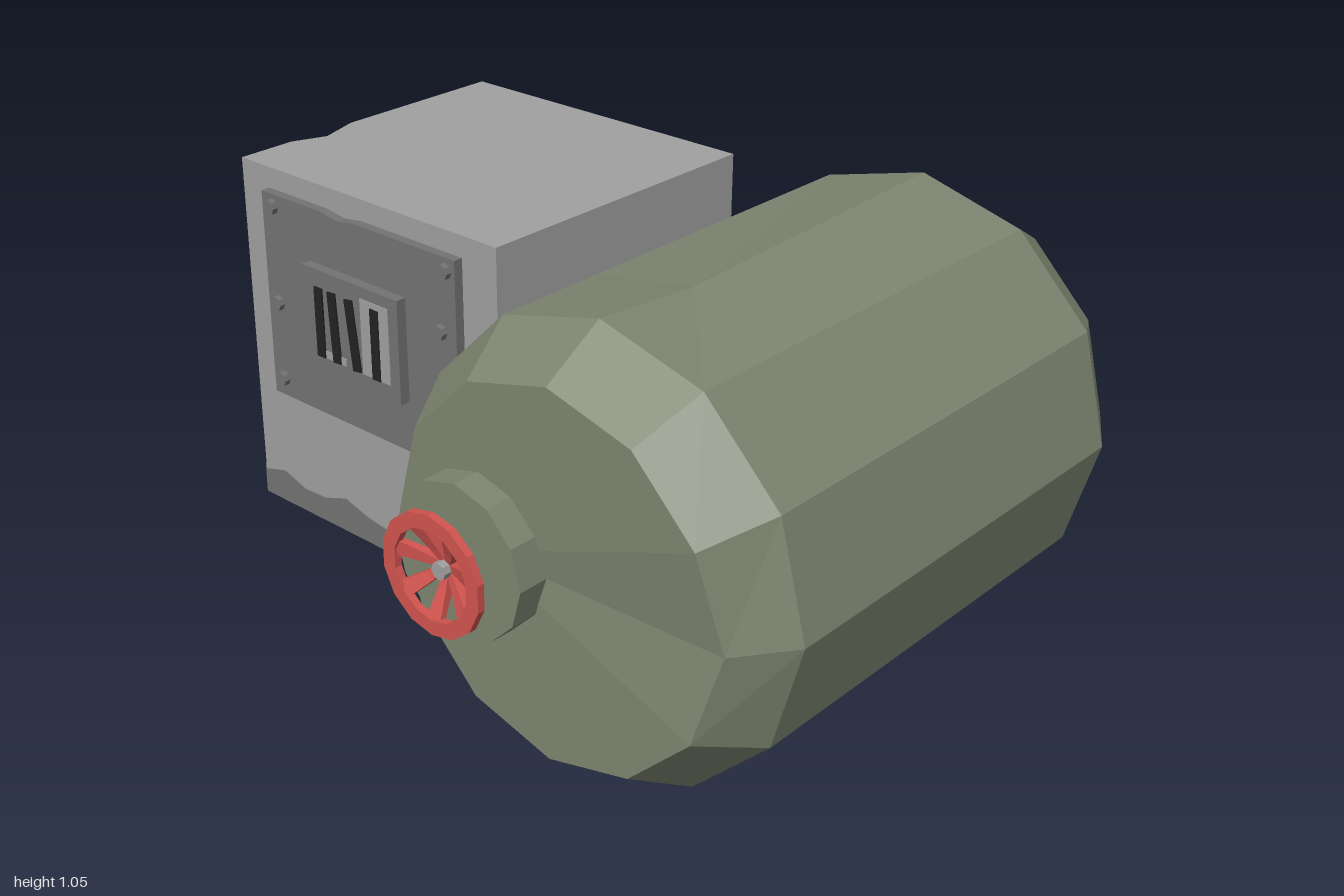
import * as THREE from 'three';

const mat = (name, color) => {
  const m = new THREE.MeshStandardMaterial({ color });
  m.name = name;
  return m;
};

export function createModel() {
  const model = new THREE.Group();
  model.name = 'tankAndControlBox';
  const green = mat('tankGreen', 0x7d8570);
  const grey = mat('boxGrey', 0xa0a0a0);
  const dark = mat('panelGrey', 0x737373);
  const red = mat('wheelRed', 0xd2544f);
  const black = mat('slotBlack', 0x222222);

  const add = (name, geo, material, parent = model) => {
    const mesh = new THREE.Mesh(geo, material);
    mesh.name = name;
    parent.add(mesh);
    return mesh;
  };
  // Faceted copy of a geometry
  const flat = (geo) => {
    const g = geo.index ? geo.toNonIndexed() : geo;
    g.computeVertexNormals();
    return g;
  };
  // Box from its minimum and maximum corners
  const block = (x0, y0, z0, x1, y1, z1) =>
    new THREE.BoxGeometry(x1 - x0, y1 - y0, z1 - z0)
      .translate((x0 + x1) / 2, (y0 + y1) / 2, (z0 + z1) / 2);
  // Faceted cylinder along z
  const disc = (r, sides, x, y, z0, z1) =>
    flat(new THREE.CylinderGeometry(r, r, z1 - z0, sides)
      .rotateX(Math.PI / 2).translate(x, y, (z0 + z1) / 2));

  // Tank: twelve-sided lathe lying along z, with a few dents
  const profile = [[0, -0.78], [0.432, -0.78], [0.525, -0.625], [0.525, 0.2], [0.525, 0.485], [0.432, 0.637], [0, 0.637]];
  const tank = new THREE.LatheGeometry(profile.map(([r, z]) => new THREE.Vector2(r, z)), 12).rotateX(Math.PI / 2);
  const p = tank.attributes.position;
  for (let i = 0; i < p.count; i++) {
    const x = p.getX(i), y = p.getY(i), z = p.getZ(i);
    if (Math.abs(z - 0.2) < 0.01 && y > 0.5) p.setY(i, y - 0.024);
    if (z > 0.6 && x > 0.42) p.setZ(i, 0.612);
    if (z > 0.6 && Math.hypot(x, y) < 0.01) p.setX(i, -0.185);
  }
  add('tank', flat(tank.translate(0.475, 0.53, 0)), green);

  // Valve on the tank front
  const valve = new THREE.Group();
  valve.name = 'valve';
  valve.position.set(0.285, 0.53, 0);
  model.add(valve);
  add('valveBase', disc(0.18, 12, 0, 0, 0.6, 0.705), green, valve);
  add('valveShaft', disc(0.02, 8, 0, 0, 0.7, 0.757), grey, valve);
  const rim = [[0.105, 0.762], [0.14, 0.762], [0.14, 0.78], [0.105, 0.78], [0.105, 0.762]];
  add('wheelRim', flat(new THREE.LatheGeometry(rim.map(([r, z]) => new THREE.Vector2(r, z)), 14)
    .rotateX(Math.PI / 2)), red, valve);
  // Curved, tapering spokes
  const spokeShape = new THREE.Shape([[0.016, 0.714], [0.045, 0.726], [0.112, 0.763], [0.112, 0.777], [0.045, 0.748], [0.016, 0.738]]
    .map(([r, z]) => new THREE.Vector2(r, z)));
  const spoke = new THREE.ExtrudeGeometry(spokeShape, { depth: 0.04, bevelEnabled: false })
    .translate(0, 0, -0.02).rotateX(Math.PI / 2);
  const sp = spoke.attributes.position;
  for (let i = 0; i < sp.count; i++) sp.setY(i, sp.getY(i) * (0.3 + 0.7 * sp.getX(i) / 0.112));
  spoke.computeVertexNormals();
  for (let i = 0; i < 7; i++) {
    add('wheelSpoke', spoke, red, valve).rotation.z = (i + 0.25) * Math.PI * 2 / 7;
  }

  // Control box with a chipped upper edge
  const L = -1, R = -0.11, B = 0.006, T = 0.95, K = -0.665, F = 0.18;
  const chipTop = [-0.965, T, -0.07], chipSide = [L, 0.89, -0.07];
  const chipBack = [L, T, -0.18], chipFront = [L, T, 0.02];
  const lbk = [L, B, K], rbk = [R, B, K], lbf = [L, B, F], rbf = [R, B, F];
  const ltk = [L, T, K], rtk = [R, T, K], ltf = [L, T, F], rtf = [R, T, F];
  const faces = [
    [lbf, rbf, rtf, ltf], [rbk, lbk, ltk, rtk], [rbf, rbk, rtk, rtf], [lbk, rbk, rbf, lbf],
    [chipTop, chipFront, ltf, rtf, rtk, ltk, chipBack],
    [chipSide, chipBack, ltk, lbk, lbf, ltf, chipFront],
    [chipTop, chipBack, chipSide], [chipTop, chipSide, chipFront],
  ];
  const corners = [];
  for (const f of faces) {
    for (let i = 1; i < f.length - 1; i++) corners.push(...f[0], ...f[i], ...f[i + 1]);
  }
  const body = new THREE.BufferGeometry();
  body.setAttribute('position', new THREE.Float32BufferAttribute(corners, 3));
  body.computeVertexNormals();
  add('controlBox', body, grey);

  // Wavy grime band around the foot of the box
  const wave = [0.07, 0.092, 0.066, 0.07, 0.098, 0.074, 0.063, 0.066, 0.1, 0.09, 0.064, 0.085];
  const grime = (width, x, z, turn) => {
    const pts = wave.map((y, i) => new THREE.Vector2(width * (i / (wave.length - 1) - 0.5), y));
    const shape = new THREE.Shape([new THREE.Vector2(-width / 2, 0.002), new THREE.Vector2(width / 2, 0.002), ...pts.reverse()]);
    const geo = new THREE.ExtrudeGeometry(shape, { depth: 0.003, bevelEnabled: false });
    add('grimeBand', geo.rotateY(turn).translate(x, 0, z), dark);
  };
  const midX = (L + R) / 2, midZ = (K + F) / 2;
  grime(R - L, midX, F, 0);
  grime(R - L, midX, K, Math.PI);
  grime(F - K, R, midZ, Math.PI / 2);
  grime(F - K, L, midZ, -Math.PI / 2);
  add('boxUnderside', block(L, 0, K, R, 0.006, F), dark);

  // Front panel, its bolts and the slotted plate
  const panelShape = new THREE.Shape([[-0.9, 0.345], [-0.22, 0.345], [-0.22, 0.895], [-0.56, 0.895], [-0.62, 0.886], [-0.68, 0.895], [-0.9, 0.895]]
    .map(([x, y]) => new THREE.Vector2(x, y)));
  add('panel', new THREE.ExtrudeGeometry(panelShape, { depth: 0.025, bevelEnabled: false }).translate(0, 0, F), dark);
  const bolts = [[-0.86, 0.863], [-0.25, 0.863], [-0.27, 0.705], [-0.86, 0.605], [-0.252, 0.567], [-0.86, 0.395], [-0.252, 0.395]];
  for (const [x, y] of bolts) add('bolt', disc(0.02, 8, x, y, 0.2, 0.221), dark);
  add('slotPlate', block(-0.73, 0.482, 0.2, -0.39, 0.755, 0.233), dark);
  add('wornPatch', block(-0.52, 0.525, 0.232, -0.422, 0.725, 0.235), grey);
  add('wornPatch', block(-0.655, 0.525, 0.232, -0.58, 0.545, 0.235), grey);
  for (const [x, tilt] of [[-0.67, 0], [-0.617, 0.06], [-0.55, 0.12], [-0.469, 0]]) {
    const slot = add('slot', new THREE.BoxGeometry(0.028, 0.185, 0.005), black);
    slot.position.set(x, 0.617, 0.2355);
    slot.rotation.z = tilt;
  }

  // Thick coupling between the box and the tank
  add('coupling', flat(new THREE.CylinderGeometry(0.168, 0.168, 0.25, 12)
    .rotateZ(Math.PI / 2).translate(0.005, 0.528, -0.232)), grey);

  // Bent pipe from the box front into the tank
  const v = (x, z) => new THREE.Vector3(x, 0.172, z);
  const path = new THREE.CurvePath();
  path.add(new THREE.LineCurve3(v(-0.197, 0.16), v(-0.197, 0.27)));
  path.add(new THREE.QuadraticBezierCurve3(v(-0.197, 0.27), v(-0.197, 0.338), v(-0.13, 0.338)));
  path.add(new THREE.LineCurve3(v(-0.13, 0.338), v(0.27, 0.338)));
  add('pipe', flat(new THREE.TubeGeometry(path, 24, 0.053, 10)), grey);

  return model;
}
